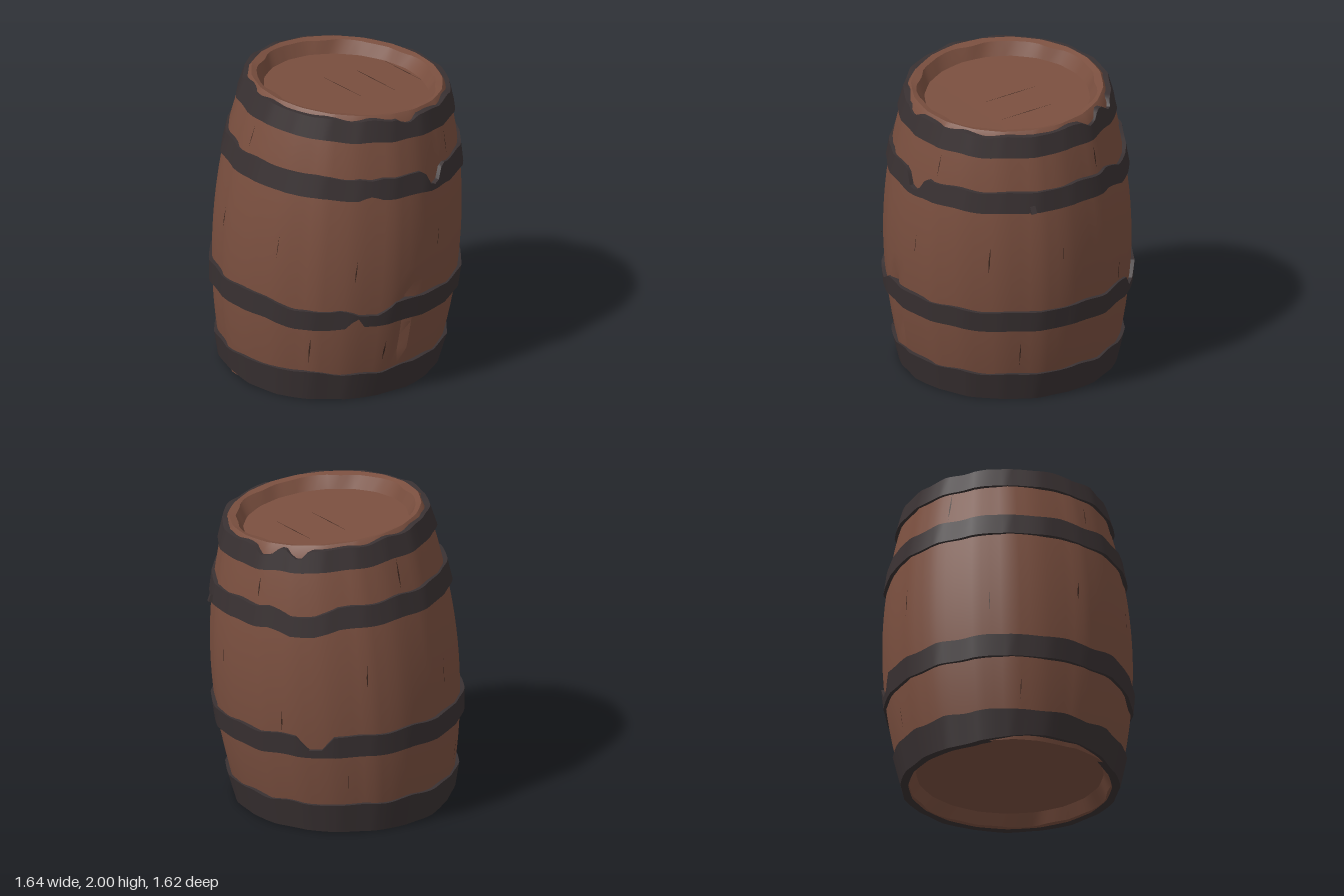
import * as THREE from 'three';
import { mergeVertices, toCreasedNormals } from 'three/addons/utils/BufferGeometryUtils.js';

const SIDES = 20;
const RAD = Math.PI / 180;
const wave = (deg, count) => Math.sin(deg * RAD * count);

// Bulging stave radius at a height
const bulge = (h) => 0.797 - 0.142 * (h - 0.9) ** 2;

// Point on the leaning, many-sided barrel
function place(deg, h, radius) {
  const half = 180 / SIDES;
  const within = THREE.MathUtils.euclideanModulo(deg, 2 * half) - half;
  const facet = Math.cos(half * RAD) / Math.cos(within * RAD);
  const r = radius * (0.35 + 0.65 * facet);
  const x = 0.06 * h - 0.05 + r * Math.sin(deg * RAD);
  return new THREE.Vector3(x, h * (1 - 0.04 * x), r * Math.cos(deg * RAD));
}

// Skin a cross-section swept round the barrel
function sweep(columns, section) {
  const points = [], index = [];
  let rows = 0;
  for (let i = 0; i < columns; i++) {
    const ring = section(i * 360 / columns);
    rows = ring.length;
    points.push(...ring);
  }
  for (let i = 0; i < columns; i++) {
    for (let j = 0; j < rows - 1; j++) {
      const a = i * rows + j, b = ((i + 1) % columns) * rows + j;
      index.push(a, b, b + 1, a, b + 1, a + 1);
    }
  }
  const geo = new THREE.BufferGeometry().setFromPoints(points);
  geo.setIndex(index);
  return toCreasedNormals(mergeVertices(geo, 1e-5), 0.55);
}

// Iron hoop with notches worn into its edges
function hoopGeometry(low, high, notches) {
  return sweep(120, (deg) => {
    const ripple = 0.005 * wave(deg, 12) + 0.004 * wave(deg, 17);
    let top = high + ripple;
    let bottom = low + (low > 0 ? ripple * 0.6 : 0);
    notches.forEach(({ at, width, top: cutTop = 0, bottom: cutBottom = 0 }) => {
      const away = Math.abs(THREE.MathUtils.euclideanModulo(deg - at + 180, 360) - 180);
      const depth = Math.min(1, 1.5 * Math.max(0, 1 - away / width));
      top -= cutTop * depth;
      bottom += cutBottom * depth;
    });
    bottom = Math.min(bottom, top - 0.004);
    const out = 0.021 + 0.004 * wave(deg, 11);
    return [
      place(deg, bottom, bulge(bottom) - 0.03), place(deg, bottom, bulge(bottom) + out),
      place(deg, top, bulge(top) + out), place(deg, top, bulge(top) - 0.03),
    ];
  });
}

// Thin pointed sliver between two points
function sliver(a, b, side) {
  const mid = a.clone().lerp(b, 0.45);
  const geo = new THREE.BufferGeometry().setFromPoints([a, mid.clone().add(side), b, mid.clone().sub(side)]);
  geo.setIndex([0, 1, 2, 0, 2, 3]);
  geo.computeVertexNormals();
  return geo;
}

export function createModel() {
  const wood = new THREE.MeshStandardMaterial({ color: 0x7a4f3f });
  wood.name = 'brown wood';
  const iron = new THREE.MeshStandardMaterial({ color: 0x393132 });
  iron.name = 'dark iron';
  const gap = new THREE.MeshStandardMaterial({ color: 0x3c271f, side: THREE.DoubleSide });
  gap.name = 'dark crack';

  const barrel = new THREE.Group();
  barrel.name = 'barrel';
  const add = (name, geo, material) => {
    const mesh = new THREE.Mesh(geo, material);
    mesh.name = name;
    barrel.add(mesh);
    return mesh;
  };

  // Staves with both recessed ends in one skin
  add('staves', sweep(80, (deg) => {
    const bump = 0.005 * Math.sin(Math.floor(deg / 18) * 2.4);
    const chip = 0.008 * wave(deg, 7) + 0.006 * wave(deg, 13);
    const ring = [place(deg, 0.09, 0), place(deg, 0.09, 0.6), place(deg, 0.015, 0.65 + chip)];
    for (let i = 0; i < 20; i++) {
      const h = 0.012 + i * 0.1;
      const gouge = Math.abs(deg - 27) < 4 && h > 0.3 && h < 0.75 ? 0.025 : 0;
      ring.push(place(deg, h, bulge(h) + bump - gouge));
    }
    ring.push(place(deg, 1.955, 0.615), place(deg, 1.945, 0.575 + chip));
    ring.push(place(deg, 1.865, 0.53), place(deg, 1.86, 0));
    return ring;
  }), wood);

  // Iron hoops, bottom to top
  add('bottomHoop', hoopGeometry(0, 0.2, [
    { at: -85, width: 45, bottom: 0.04 }, { at: 10, width: 20, top: 0.02 },
  ]), iron);
  add('lowerHoop', hoopGeometry(0.55, 0.695, [
    { at: -21, width: 22, top: 0.05, bottom: -0.035 }, { at: 8, width: 13, top: 0.08, bottom: -0.01 },
    { at: 2, width: 3.5, bottom: 0.06 }, { at: 171, width: 9, top: 0.09 },
  ]), iron);
  add('upperHoop', hoopGeometry(1.425, 1.565, [
    { at: 42, width: 7, top: 0.115, bottom: -0.01 }, { at: 6, width: 5, top: 0.02, bottom: 0.02 },
    { at: 168, width: 18, top: 0.05, bottom: -0.04 },
  ]), iron);
  add('topHoop', hoopGeometry(1.8, 1.935, [
    { at: 28, width: 7, top: 0.035 }, { at: 147, width: 8, top: 0.04 }, { at: 166, width: 6, top: 0.045 },
  ]), iron);

  // Torn iron flap on the upper hoop
  const flap = add('tornFlap', new THREE.BoxGeometry(0.03, 0.05, 0.035), iron);
  flap.position.copy(place(105, 1.45, bulge(1.45) + 0.03));
  flap.rotation.set(0.2, 0.25, 0.3);

  // Splits between staves, scattered at mid height and in the lower and upper bays
  for (let i = 0; i < 18; i++) {
    const deg = i * 20 + 5 * Math.sin(i * 3.7);
    const low = [0.85 + 0.15 * Math.sin(i * 2.1), 0.27, 1.0, 1.6][i % 4];
    const high = low + 0.17 + 0.03 * Math.sin(i * 5.3);
    const width = 0.004 + 0.002 * Math.sin(i * 1.9);
    const side = new THREE.Vector3(Math.cos(deg * RAD), 0, -Math.sin(deg * RAD)).multiplyScalar(width);
    const from = place(deg, low, bulge(low) + 0.009);
    add('staveCrack', sliver(from, place(deg + 0.8, high, bulge(high) + 0.009), side), gap);
  }

  // Slanting plank seams on the lid
  for (let i = -1; i <= 1; i++) {
    const onLid = (x, z) => new THREE.Vector3(x, 1.869 * (1 - 0.04 * x), z);
    const x = 0.14 + i * 0.22, z = -0.41 - i * 0.12;
    add('lidSeam', sliver(onLid(x, z + 0.1), onLid(x + 0.25, z + 0.46), new THREE.Vector3(0.003, 0, -0.0015)), gap);
  }

  return barrel;
}
